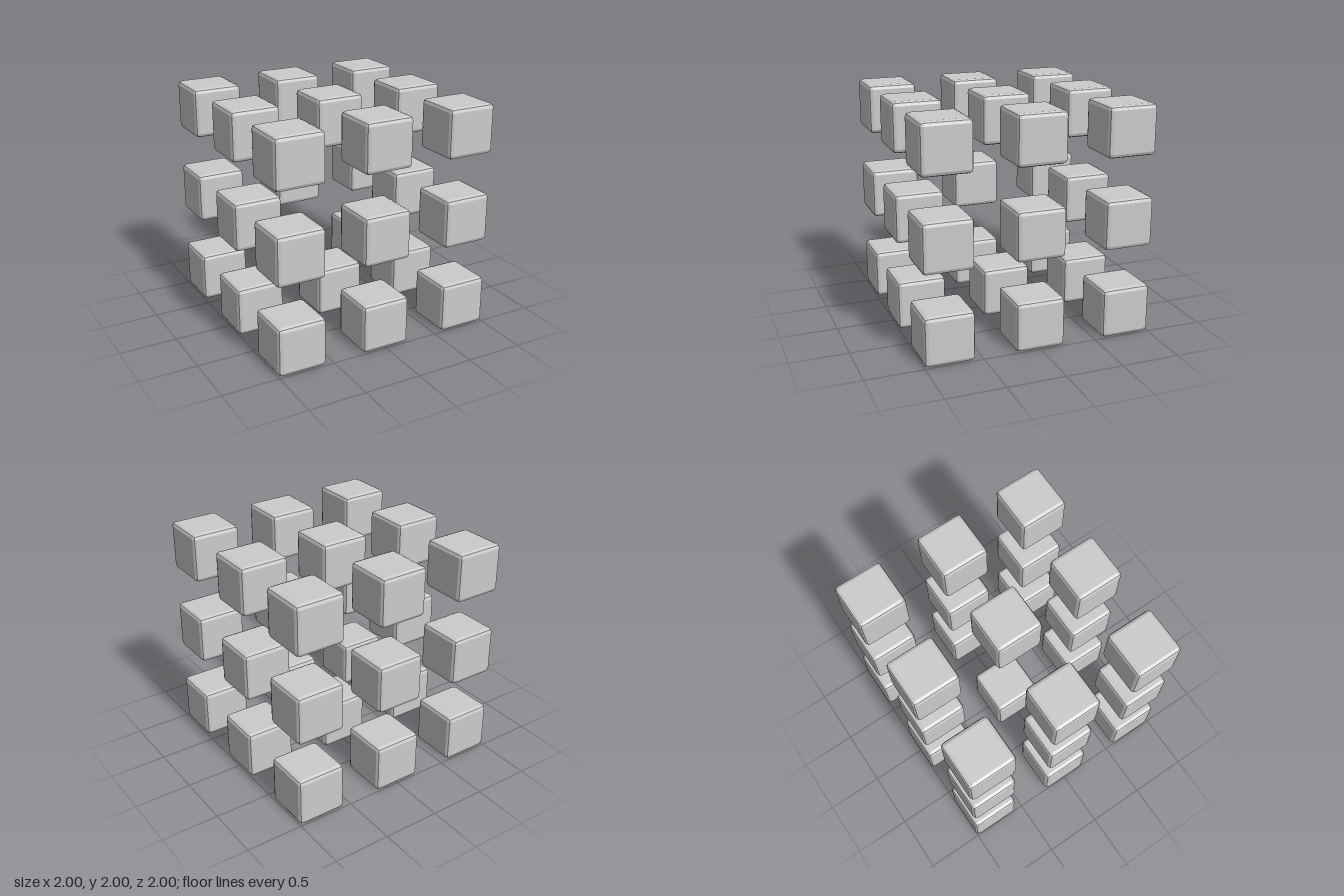
import * as THREE from 'three';
import { RoundedBoxGeometry } from 'three/addons/geometries/RoundedBoxGeometry.js';

export function createModel() {
  const model = new THREE.Group();
  model.name = 'explodedCubeGrid';

  const size = 0.43;
  const spacing = 0.785;
  const material = new THREE.MeshStandardMaterial({ color: 0xcccccc, flatShading: true });
  // Two bevel facets along every edge
  const geometry = new RoundedBoxGeometry(size, size, size, 1, 0.035);

  const kinds = ['core', 'faceCube', 'edgeCube', 'cornerCube'];
  const steps = [-1, 0, 1];
  for (const y of steps) {
    const layer = new THREE.Group();
    layer.name = ['bottomLayer', 'middleLayer', 'topLayer'][y + 1];
    layer.position.y = 1 + y * spacing;
    for (const x of steps) {
      for (const z of steps) {
        const kind = Math.abs(x) + Math.abs(y) + Math.abs(z);
        if (kind === 0) continue; // the core is empty
        const cube = new THREE.Mesh(geometry, material);
        cube.name = kinds[kind];
        cube.position.set(x * spacing, 0, z * spacing);
        layer.add(cube);
      }
    }
    model.add(layer);
  }
  return model;
}
